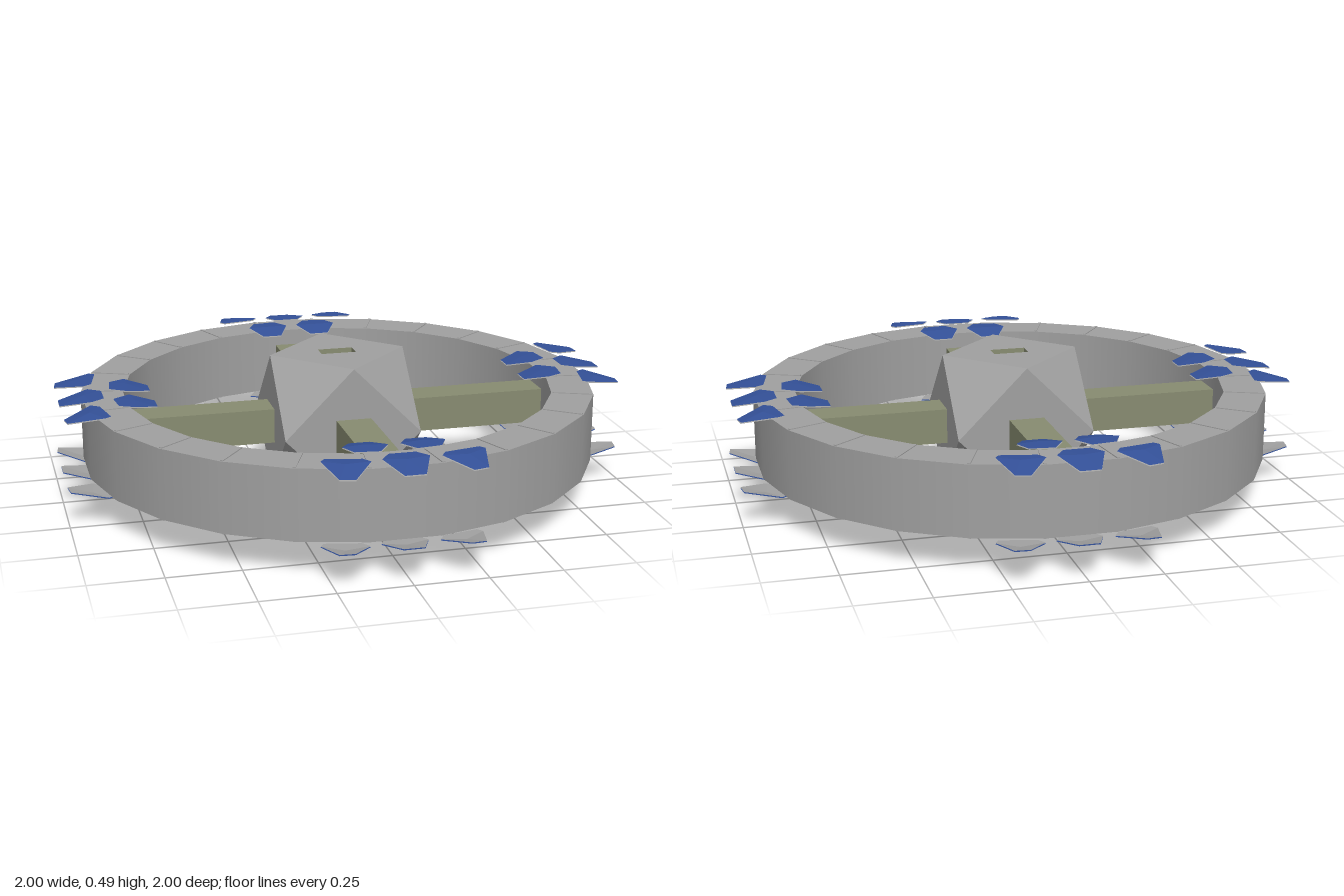
import * as THREE from 'three';

const MID = 0.245; // height of the wheel's mid plane, also the hub half-size

export function createModel() {
  const model = new THREE.Group();
  model.name = 'ringStation';
  const material = (name, color) => new THREE.MeshStandardMaterial({ name, color, side: THREE.DoubleSide });
  const grey = material('hull grey', 0xa0a0a0);
  const olive = material('spoke olive', 0x878b70);
  const blue = material('panel blue', 0x335097);
  const pale = material('slot blue grey', 0x8a95a3);

  const add = (parent, name, geometry, mat, x = 0, y = 0, z = 0) => {
    const mesh = new THREE.Mesh(geometry, mat);
    mesh.name = name;
    mesh.position.set(x, y, z);
    parent.add(mesh);
    return mesh;
  };
  const fromPoints = (points) => {
    const g = new THREE.BufferGeometry();
    g.setAttribute('position', new THREE.Float32BufferAttribute(points, 3));
    g.computeVertexNormals();
    return g;
  };

  // Outer ring: smooth walls with flat caps
  const R = 0.918, r = 0.77, H = 0.245, SIDES = 24;
  const turn = Math.PI / SIDES;
  const ring = new THREE.Group();
  ring.name = 'ring';
  ring.position.y = MID;
  model.add(ring);
  for (const [name, radius] of [['ringOuterWall', R], ['ringInnerWall', r]]) {
    add(ring, name, new THREE.CylinderGeometry(radius, radius, H, SIDES, 1, true, turn), grey);
  }
  for (const s of [1, -1]) {
    const cap = new THREE.RingGeometry(r, R, SIDES, 1, turn).rotateX(-s * Math.PI / 2);
    add(ring, 'ringCap', cap, grey, 0, s * H / 2, 0);
    // low ridges at the joints between ring segments
    for (let i = 0; i < SIDES; i++) {
      const ridge = new THREE.BoxGeometry(0.01, 0.006, R - r - 0.01);
      ridge.translate(0, s * H / 2, (R + r) / 2).rotateY(turn * (2 * i + 1));
      add(ring, 'segmentRidge', ridge, grey);
    }
  }

  // Four square spokes
  for (let i = 0; i < 4; i++) {
    const spoke = new THREE.BoxGeometry(0.125, 0.125, 0.67).translate(0, 0, 0.435);
    add(model, 'spoke', spoke, olive, 0, MID, 0).rotation.y = i * Math.PI / 2;
  }

  // Hub: cuboctahedron with a slot in its top face
  const hub = new THREE.Group();
  hub.name = 'hub';
  hub.position.y = MID;
  model.add(hub);
  const a = MID, corners = [];
  for (const x of [a, -a]) for (const y of [a, -a]) for (const z of [a, -a]) {
    const tri = [[x, y, 0], [0, y, z], [x, 0, z]];
    if (x * y * z < 0) tri.reverse();
    corners.push(...tri.flat());
  }
  add(hub, 'hubTriangles', fromPoints(corners), grey);

  const diamond = () => new THREE.Shape([[a, 0], [0, a], [-a, 0], [0, -a]].map(p => new THREE.Vector2(...p)));
  const face = (shape) => new THREE.ShapeGeometry(shape).translate(0, 0, a);
  for (let i = 0; i < 4; i++) add(hub, 'hubSide', face(diamond()).rotateY(i * Math.PI / 2), grey);
  add(hub, 'hubBottom', face(diamond()).rotateX(Math.PI / 2), grey);
  const slotted = diamond();
  const sx = 0.063, sz = 0.03;
  slotted.holes.push(new THREE.Path([[-sx, -sz], [-sx, sz], [sx, sz], [sx, -sz]].map(p => new THREE.Vector2(...p))));
  add(hub, 'hubTop', face(slotted).rotateX(-Math.PI / 2), grey);

  // open-topped slot lining
  const lining = new THREE.BoxGeometry(sx * 2, 0.03, sz * 2);
  const index = Array.from(lining.index.array);
  index.splice(12, 6);
  lining.setIndex(index);
  add(hub, 'slotLining', lining, olive, 0, a - 0.015, 0);
  add(hub, 'slotFloorPlate', new THREE.BoxGeometry(0.06, 0.004, sz * 2 - 0.004), pale, 0, a - 0.027, 0);

  // Panel outlines as [sideways, radius]; side ones are mirrored
  const centrePanel = [[-0.045, 0.845], [0.045, 0.845], [0.078, 0.89], [0.035, 0.998], [-0.035, 0.998], [-0.078, 0.89]];
  const sidePanel = [[0.255, 0.845], [0.27, 0.865], [0.24, 0.99], [0.19, 0.998], [0.115, 0.9], [0.135, 0.87]];
  const innerPanel = [[0.06, 0.67], [0.13, 0.67], [0.172, 0.75], [0.145, 0.805], [0.06, 0.815], [0.02, 0.755]];
  const mirror = (outline) => outline.map(([x, z]) => [-x, z]).reverse();
  const outlines = [centrePanel, sidePanel, mirror(sidePanel), innerPanel, mirror(innerPanel)];

  // Thin panel, bent down beyond either edge of the ring; up = outer skin
  const panelSkin = (outline, up) => {
    const drop = up ? 0 : 0.004;
    const lift = (z) => 0.144 - drop - 0.21 * Math.max(0, z - 0.9, 0.75 - z);
    const n = outline.length;
    const cx = outline.reduce((s, p) => s + p[0], 0) / n;
    const cz = outline.reduce((s, p) => s + p[1], 0) / n;
    const pts = [];
    outline.forEach(([x, z], i) => {
      const [x2, z2] = outline[(i + 1) % n];
      const p = [x, lift(z), z], q = [x2, lift(z2), z2];
      pts.push(cx, 0.146 - drop, cz, ...(up ? [...q, ...p] : [...p, ...q]));
    });
    return fromPoints(pts);
  };

  // Four clusters of five panels, above and below the ring
  for (const flip of [0, Math.PI]) {
    const layer = new THREE.Group();
    layer.name = flip ? 'lowerPanels' : 'upperPanels';
    layer.position.y = MID;
    layer.rotation.x = flip;
    model.add(layer);
    for (let i = 0; i < 4; i++) {
      const cluster = new THREE.Group();
      cluster.name = 'panelCluster';
      cluster.rotation.y = i * Math.PI / 2;
      layer.add(cluster);
      for (const outline of outlines) {
        add(cluster, 'panelFace', panelSkin(outline, true), blue);
        add(cluster, 'panelBack', panelSkin(outline, false), grey);
      }
    }
  }
  return model;
}
